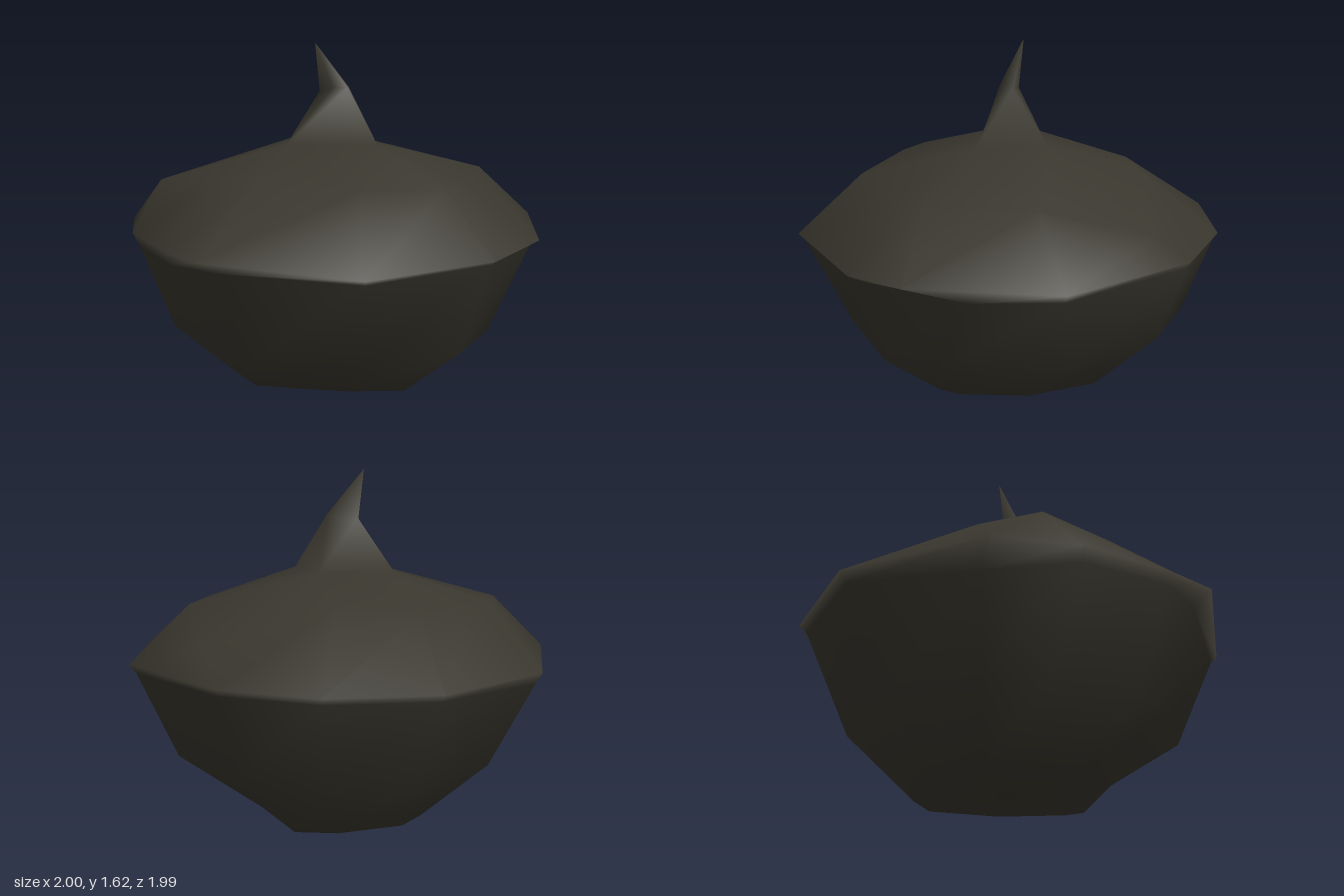
import * as THREE from 'three';
import { mergeVertices } from 'three/addons/utils/BufferGeometryUtils.js';

// Irregular plan sections [x, z, own height if uneven], running back -> left -> front -> right
const BASE = [
  [-0.15, -0.48], [0.04, -0.53], [0.3, -0.3], [0.44, 0], [0.44, 0.1], [0.21, 0.24],
  [0, 0.32], [-0.21, 0.39], [-0.36, 0.28], [-0.48, 0.11, 0.015], [-0.45, -0.15], [-0.4, -0.3],
];
const BELLY = [
  [-0.22, -0.86], [0.15, -0.86], [0.56, -0.63], [0.77, -0.09, 0.3], [0.74, 0.2], [0.45, 0.6],
  [0, 0.74], [-0.25, 0.7], [-0.61, 0.49], [-0.72, 0.25], [-0.76, -0.15], [-0.55, -0.62],
];
const UNDER_LIP = [
  [-0.26, -0.98], [0.18, -0.98], [0.74, -0.67], [0.9, -0.33], [0.88, 0.22], [0.57, 0.76],
  [-0.05, 0.9], [-0.3, 0.88], [-0.66, 0.66], [-0.86, 0.32, 0.66], [-0.97, -0.26], [-0.67, -0.76],
];
const LIP = [
  [-0.26, -1], [0.18, -1], [0.76, -0.69], [1, -0.08], [0.91, 0.25, 0.725], [0.58, 0.79, 0.725],
  [-0.07, 0.99], [-0.3, 0.9], [-0.68, 0.68], [-0.92, 0.4], [-1, -0.28], [-0.69, -0.79],
];
const SHOULDER = [
  [-0.19, -0.62, 1.05], [0.31, -0.87, 0.89], [0.57, -0.47], [0.7, 0], [0.65, 0.17], [0.42, 0.52],
  [-0.05, 0.6], [-0.25, 0.6], [-0.66, 0.49, 0.985], [-0.7, 0.2], [-0.67, -0.2], [-0.5, -0.45],
];

// Which of the stem's four corners (back, left, front, right) each section point meets
const STEM_CORNER = [0, 0, 1, 1, 1, 2, 2, 2, 2, 3, 3, 0];

const ring = (plan, height) => plan.map(([x, z, y = height(z)]) => [x, y, z]);
const stemRing = (corners) => STEM_CORNER.map((i) => corners[i]);
const point = (x, y, z) => Array(LIP.length).fill([x, y, z]);

// Joins rings from bottom to top into one smooth skin
function loft(rings) {
  const n = LIP.length;
  const index = [];
  for (let i = 0; i < rings.length - 1; i++) {
    for (let j = 0; j < n; j++) {
      const a = i * n + j, b = i * n + (j + 1) % n;
      index.push(a, a + n, b, b, a + n, b + n);
    }
  }
  const geometry = new THREE.BufferGeometry();
  geometry.setAttribute('position', new THREE.Float32BufferAttribute(rings.flat(2), 3));
  geometry.setIndex(index);
  const welded = mergeVertices(geometry);
  welded.computeVertexNormals();
  return welded;
}

export function createModel() {
  const group = new THREE.Group();
  const skin = new THREE.MeshStandardMaterial({ color: 0x38362d, side: THREE.DoubleSide });
  skin.name = 'dark olive skin';

  const body = new THREE.Mesh(loft([
    // Rounded bowl
    point(-0.02, 0, -0.07),
    ring(BASE, () => 0.005),
    ring(BELLY, (z) => 0.27 + 0.11 * Math.max(0, -z)),
    // Overhanging lip
    ring(UNDER_LIP, (z) => 0.7 + 0.03 * Math.max(0, -z)),
    ring(LIP, () => 0.76),
    // Domed cap
    ring(SHOULDER, (z) => 0.99 + 0.1 * z * z),
    // Bent pointed stem
    stemRing([[0.02, 1.15, -0.25], [0.24, 1.15, 0.01], [-0.15, 1.15, 0.18], [-0.28, 1.15, -0.06]]),
    stemRing([[0.04, 1.41, -0.08], [0.06, 1.41, -0.03], [0, 1.41, 0.01], [-0.1, 1.39, -0.04]]),
    point(-0.13, 1.62, -0.05),
  ]), skin);
  body.name = 'bulbWithStem';
  group.add(body);

  return group;
}
